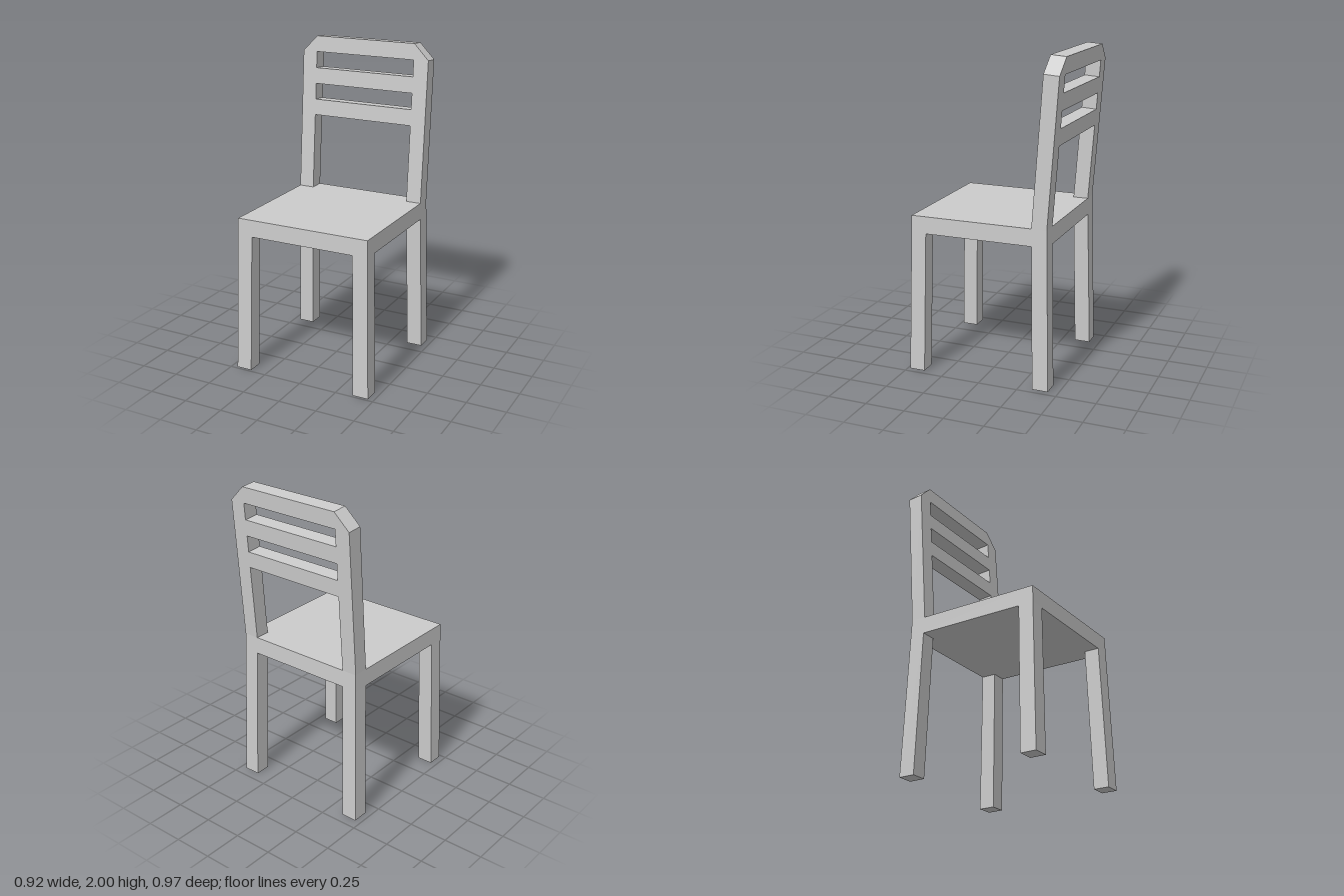
import * as THREE from 'three';

const material = new THREE.MeshStandardMaterial({ color: 0xcccccc, flatShading: true });

// Six-sided block between two rectangles [x0, x1, z0, z1] at heights y0 and y1
function taperedBlock(name, y0, bottom, y1, top) {
  const geo = new THREE.BoxGeometry(1, 1, 1);
  const p = geo.attributes.position;
  for (let i = 0; i < p.count; i++) {
    const upper = p.getY(i) > 0;
    const r = upper ? top : bottom;
    p.setXYZ(i, p.getX(i) > 0 ? r[1] : r[0], upper ? y1 : y0, p.getZ(i) > 0 ? r[3] : r[2]);
  }
  geo.computeVertexNormals();
  const mesh = new THREE.Mesh(geo, material);
  mesh.name = name;
  return mesh;
}

// Backrest: two posts joined by three slats, chamfered top corners, leaning back
function createBackrest() {
  const outer = 0.437, inner = 0.339;
  const shape = new THREE.Shape([
    [-outer, 1], [-inner, 1], [-inner, 1.488], [inner, 1.488], [inner, 1], [outer, 1],
    [outer, 1.902], [inner, 2], [-inner, 2], [-outer, 1.902],
  ].map(([x, y]) => new THREE.Vector2(x, y)));

  // Gaps between the slats
  for (const [low, high] of [[1.59, 1.693], [1.795, 1.899]]) {
    shape.holes.push(new THREE.Path([
      [-inner, low], [-inner, high], [inner, high], [inner, low],
    ].map(([x, y]) => new THREE.Vector2(x, y))));
  }

  const geo = new THREE.ExtrudeGeometry(shape, { depth: 1, bevelEnabled: false });
  const p = geo.attributes.position;
  for (let i = 0; i < p.count; i++) {
    const y = p.getY(i), atFront = p.getZ(i) > 0.5;
    const lean = 0.073 * (y - 1);
    // Slat edges stay square to the leaning panel; the foot stays level
    p.setY(i, !atFront && y > 1.01 ? y - 0.007 : y);
    p.setZ(i, (atFront ? -0.315 : -0.411) - lean);
  }
  geo.computeVertexNormals();
  const mesh = new THREE.Mesh(geo, material);
  mesh.name = 'backrest';
  return mesh;
}

export function createModel() {
  const group = new THREE.Group();
  group.name = 'chair';

  // Seat slab, its sides in line with the splayed legs
  group.add(taperedBlock('seat',
    0.893, [-0.4395, 0.4395, -0.4135, 0.4625],
    1, [-0.437, 0.437, -0.411, 0.46]));

  // Splayed legs, mirrored left and right
  for (const [side, label] of [[1, 'Left'], [-1, 'Right']]) {
    const span = (a, b) => (side > 0 ? [a, b] : [-b, -a]);
    const foot = span(0.36, 0.461), head = span(0.341, 0.4395);
    group.add(taperedBlock('front' + label + 'Leg',
      0, [...foot, 0.385, 0.484], 0.893, [...head, 0.366, 0.4625]));
    group.add(taperedBlock('back' + label + 'Leg',
      0, [...foot, -0.436, -0.335], 0.893, [...head, -0.4135, -0.317]));
  }

  group.add(createBackrest());
  return group;
}
